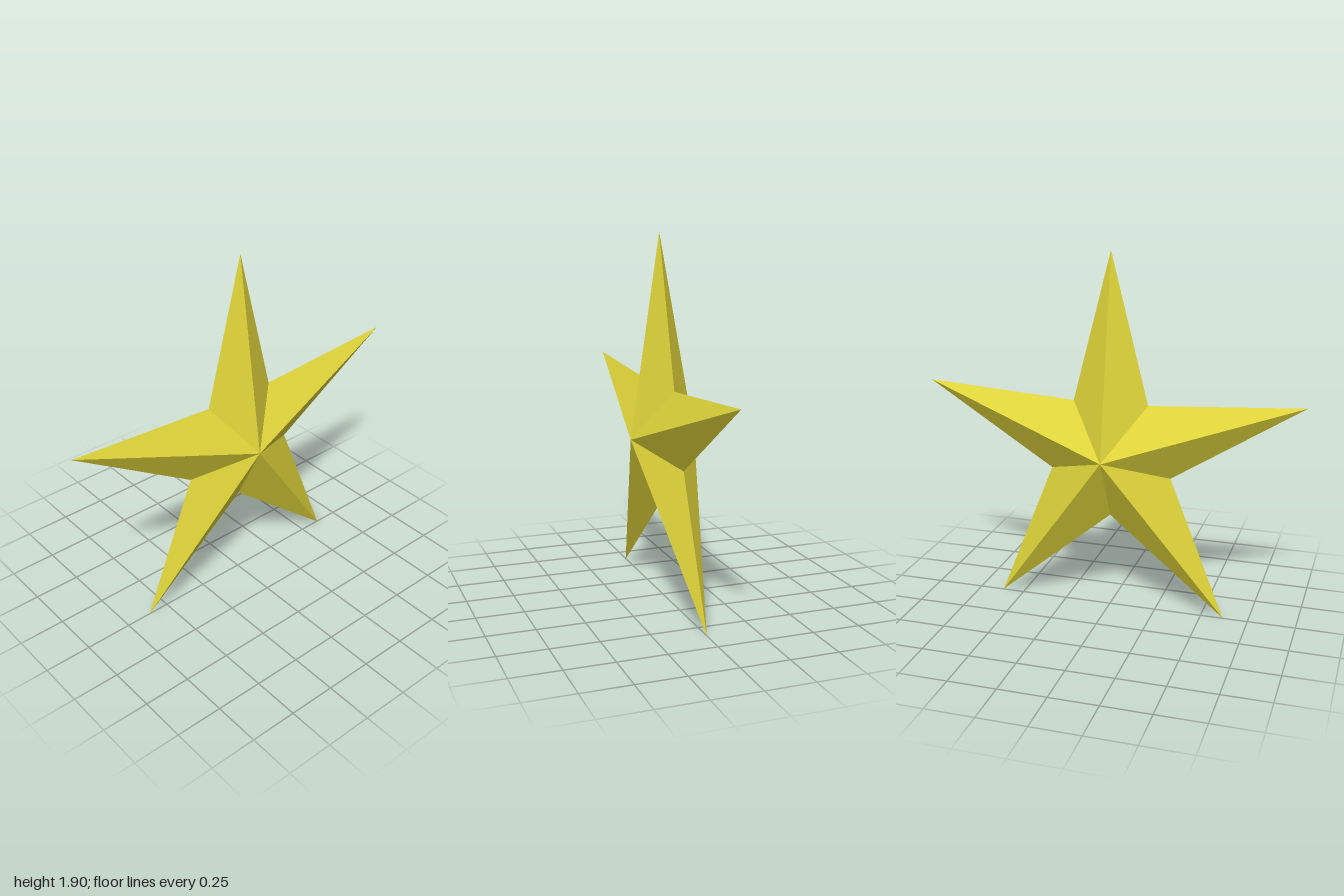
import * as THREE from 'three';

const POINTS = 5, OUTER = 1.051, INNER = 0.338, CENTRE_Y = 0.85, DEPTH = 0.175;

// Rim of alternating tips and notches, leaning very slightly forward at the top
function rimPoint(i) {
  const r = i % 2 === 0 ? OUTER : INNER;
  const a = Math.PI / 2 + (i * Math.PI) / POINTS;
  const y = CENTRE_Y + r * Math.sin(a);
  return [r * Math.cos(a), y, 0.003 + 0.0085 * y];
}

// Faceted fan from the rim to a raised centre; side is +1 for front, -1 for back
function starHalf(side) {
  const apex = [0, CENTRE_Y + 0.002, side * DEPTH];
  const positions = [];
  for (let i = 0; i < POINTS * 2; i++) {
    const a = rimPoint(i), b = rimPoint(i + 1);
    positions.push(...apex, ...(side > 0 ? a : b), ...(side > 0 ? b : a));
  }
  const geometry = new THREE.BufferGeometry();
  geometry.setAttribute('position', new THREE.Float32BufferAttribute(positions, 3));
  geometry.computeVertexNormals();
  return geometry;
}

export function createModel() {
  const group = new THREE.Group();
  group.name = 'star';
  const material = new THREE.MeshStandardMaterial({ color: 0xe0d53a, flatShading: true });
  for (const [name, side] of [['starFront', 1], ['starBack', -1]]) {
    const mesh = new THREE.Mesh(starHalf(side), material);
    mesh.name = name;
    group.add(mesh);
  }
  return group;
}
